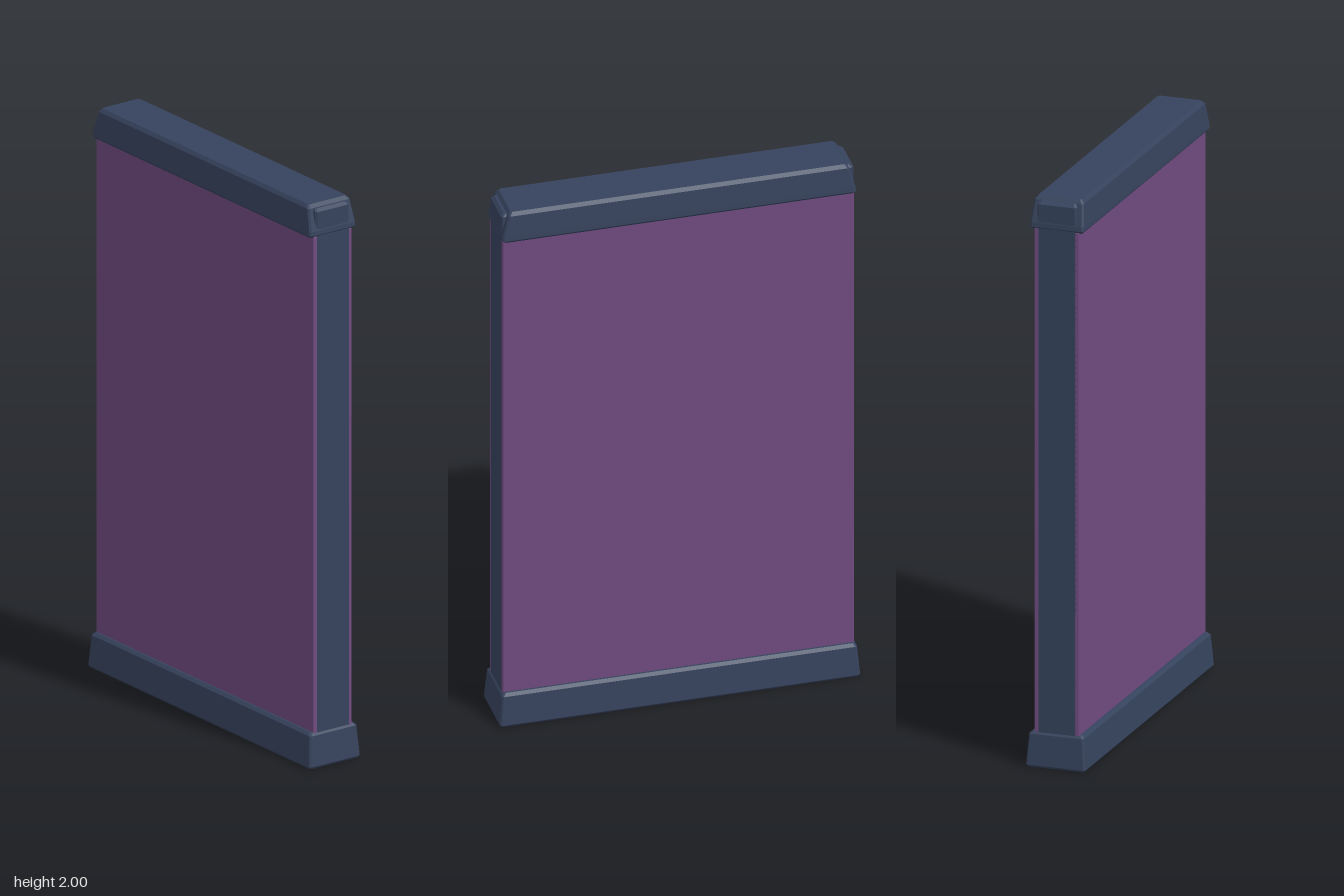
import * as THREE from 'three';

const navy = new THREE.MeshStandardMaterial({ color: 0x36435d });
navy.name = 'navy frame';
const purple = new THREE.MeshStandardMaterial({ color: 0x704b80 });
purple.name = 'purple panel';

// Stacks chamfered rectangles [y, halfX, halfZ] into a closed, flat-faced solid.
function loft(levels, chamfer) {
  const rings = levels.map(([y, x, z]) => {
    const c = chamfer;
    return [[x, z - c], [x - c, z], [c - x, z], [-x, z - c], [-x, c - z], [c - x, -z], [x - c, -z], [x, c - z]]
      .map(([px, pz]) => [px, y, pz]);
  });
  const pos = [];
  const tri = (a, b, c) => pos.push(...a, ...b, ...c);
  const n = 8, last = rings[rings.length - 1];
  for (let r = 0; r < rings.length - 1; r++) {
    for (let i = 0; i < n; i++) {
      const j = (i + 1) % n, a = rings[r], b = rings[r + 1];
      tri(a[i], b[j], a[j]);
      tri(a[i], b[i], b[j]);
    }
  }
  for (let i = 1; i < n - 1; i++) {
    tri(rings[0][0], rings[0][i], rings[0][i + 1]);
    tri(last[0], last[i + 1], last[i]);
  }
  const g = new THREE.BufferGeometry();
  g.setAttribute('position', new THREE.Float32BufferAttribute(pos, 3));
  g.computeVertexNormals();
  return g;
}

export function createModel() {
  const group = new THREE.Group();
  group.name = 'partitionWall';
  const add = (name, geometry, material, x = 0, y = 0, z = 0) => {
    const m = new THREE.Mesh(geometry, material);
    m.name = name;
    m.position.set(x, y, z);
    group.add(m);
    return m;
  };

  // Flared foot and slanted top rail
  add('base', loft([[0, 0.1, 0.62], [0.008, 0.106, 0.626], [0.115, 0.098, 0.617], [0.125, 0.088, 0.608]], 0.006), navy);
  add('topRail', loft([[1.888, 0.088, 0.606], [1.897, 0.096, 0.614], [1.912, 0.095, 0.613],
    [1.988, 0.088, 0.592], [2, 0.078, 0.582]], 0.006), navy);

  // Core slab whose narrow ends show between the panels
  add('core', new THREE.BoxGeometry(0.134, 1.8, 1.222), navy, 0, 1.01, 0);

  // Coloured panels with bevelled edges, one on each broad side
  const panel = loft([[-0.0075, 0.886, 0.611], [0.0045, 0.886, 0.611], [0.0075, 0.884, 0.608]], 0.002);
  for (const s of [1, -1]) {
    const p = add(s > 0 ? 'leftPanel' : 'rightPanel', panel, purple, s * 0.073, 1.006, 0);
    p.rotation.z = -s * Math.PI / 2;
  }

  // Raised tabs on the rail ends
  const tab = loft([[1.905, 0.064, 0.02], [1.915, 0.07, 0.023], [1.978, 0.07, 0.023], [1.988, 0.063, 0.012]], 0.006);
  for (const s of [1, -1]) add(s > 0 ? 'frontTab' : 'backTab', tab, navy, 0, 0, s * 0.589);

  return group;
}
